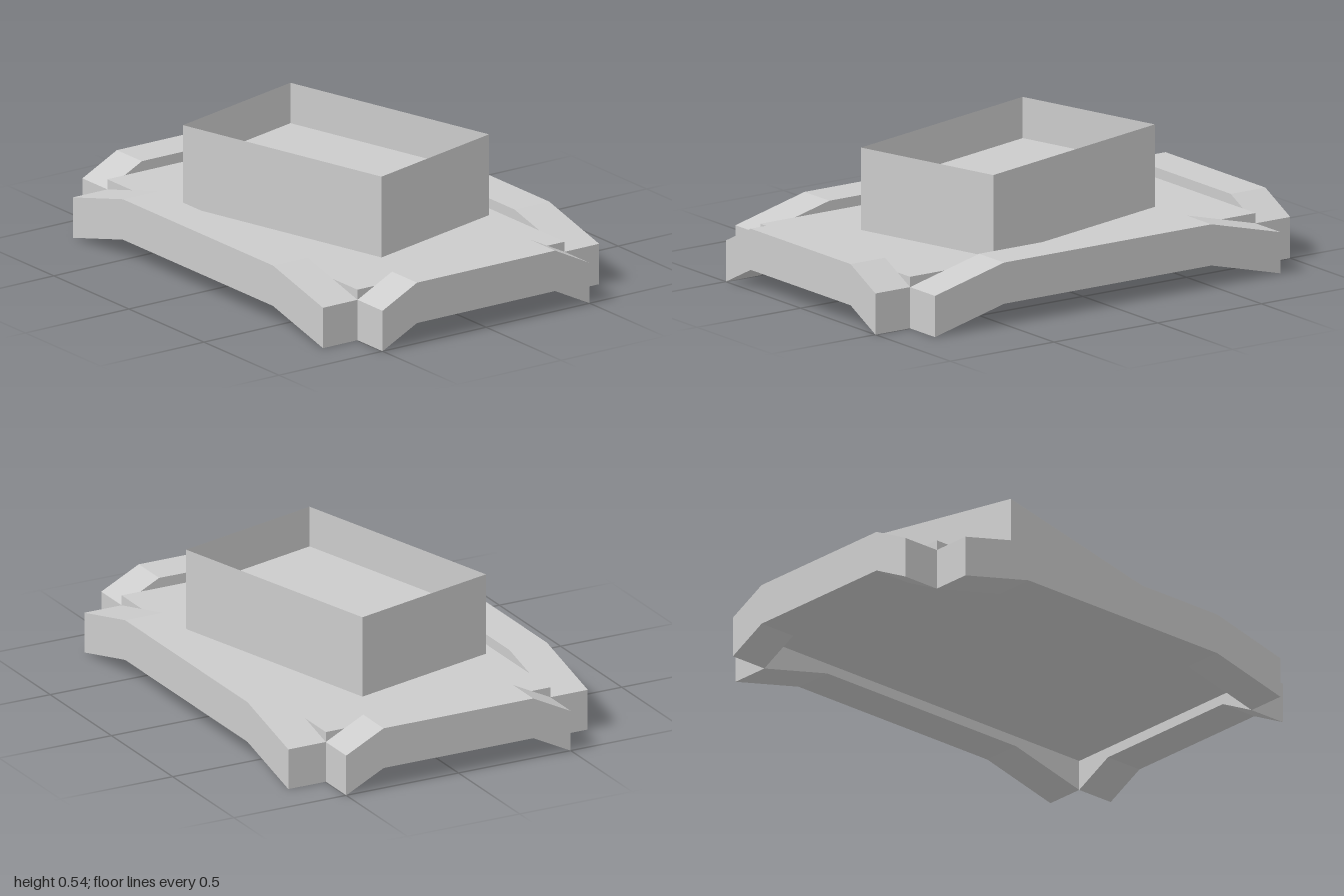
import * as THREE from 'three';

const grey = new THREE.MeshStandardMaterial({ color: 0xcccccc, flatShading: true });
const thin = new THREE.MeshStandardMaterial({ color: 0xcccccc, flatShading: true, side: THREE.DoubleSide });

const U = 1 / 6; // beam thickness, the module of the whole design

function addMesh(parent, name, geometry, material = grey) {
  const mesh = new THREE.Mesh(geometry, material);
  mesh.name = name;
  parent.add(mesh);
  return mesh;
}

// Beam along x with a raised middle and sloping ends, centred in depth
function archedBeam(halfLength, halfFlat) {
  const rise = U / 2;
  const shape = new THREE.Shape([
    [-halfLength, 0], [-halfFlat, rise], [halfFlat, rise], [halfLength, 0],
    [halfLength, U], [halfFlat, U + rise], [-halfFlat, U + rise], [-halfLength, U],
  ].map(([x, y]) => new THREE.Vector2(x, y)));
  return new THREE.ExtrudeGeometry(shape, { depth: U, bevelEnabled: false }).translate(0, 0, -U / 2);
}

export function createModel() {
  const model = new THREE.Group();
  model.name = 'tray';

  // Deck plate between the beams
  addMesh(model, 'deck', new THREE.BoxGeometry(10 * U, U / 2, 6 * U)).position.y = U;

  // Arched beams on all four sides
  const longBeam = archedBeam(5 * U, 3 * U);
  const shortBeam = archedBeam(3 * U, 2 * U).rotateY(Math.PI / 2);
  for (const s of [1, -1]) {
    addMesh(model, s > 0 ? 'frontBeam' : 'backBeam', longBeam).position.z = s * 3.5 * U;
    addMesh(model, s > 0 ? 'leftBeam' : 'rightBeam', shortBeam).position.x = s * 5.5 * U;
  }

  // Turned open box with thin walls and a floor at half height
  const box = new THREE.Group();
  box.name = 'openBox';
  box.position.y = 1.25 * U;
  box.rotation.y = Math.PI / 12;
  model.add(box);
  const width = 6 * U, depth = 4 * U, height = 2 * U;
  for (let i = 0; i < 4; i++) {
    const side = i % 2;
    const wall = new THREE.PlaneGeometry(side ? depth : width, height)
      .translate(0, height / 2, (side ? width : depth) / 2)
      .rotateY(i * Math.PI / 2);
    addMesh(box, 'boxWall', wall, thin);
  }
  const floor = new THREE.PlaneGeometry(width, depth).rotateX(-Math.PI / 2);
  addMesh(box, 'boxFloor', floor, thin).position.y = height / 2;

  return model;
}
